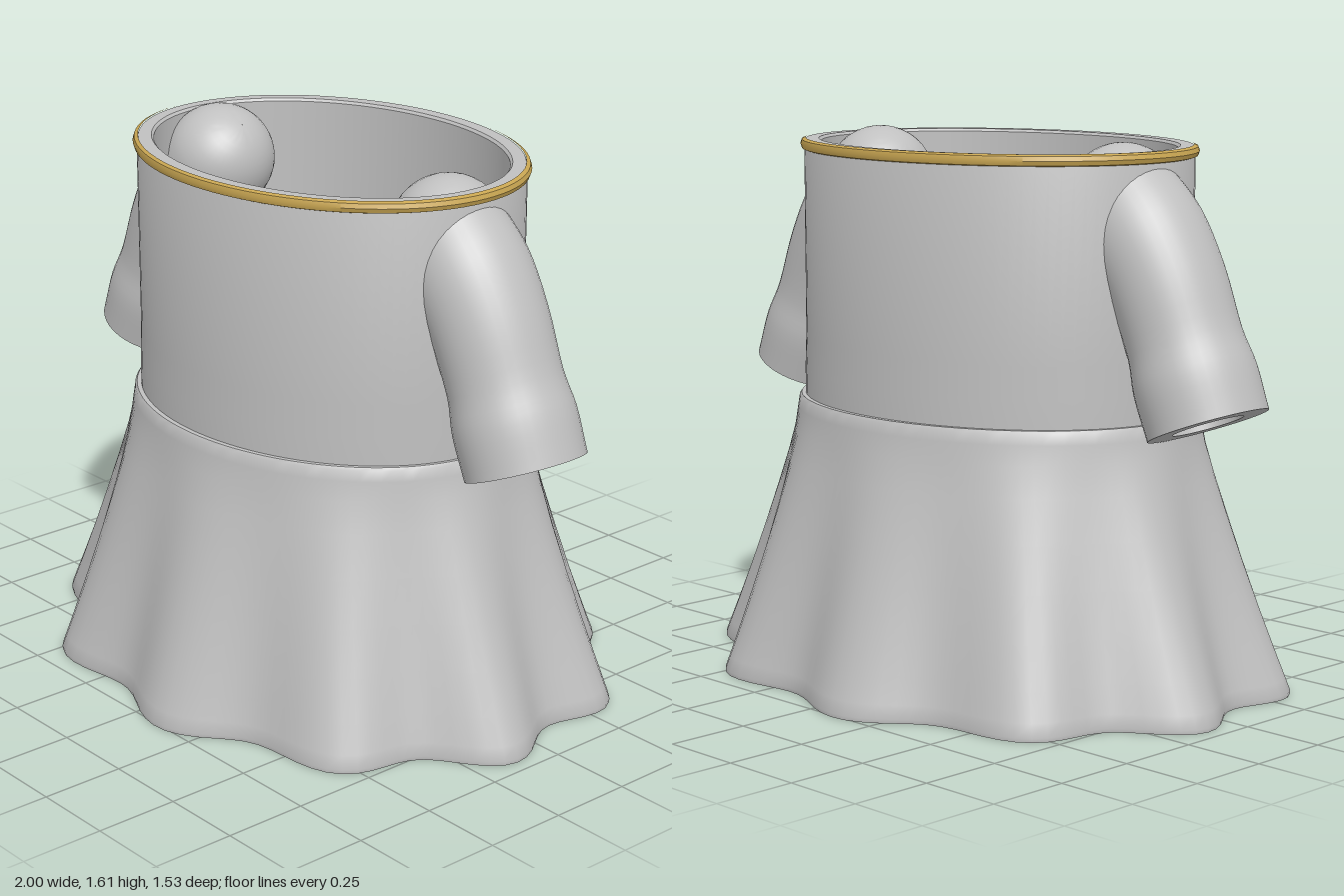
import * as THREE from 'three';
import { toCreasedNormals } from 'three/addons/utils/BufferGeometryUtils.js';

// Skin a stack of closed rings; point(row, angle) returns [x, y, z].
function loft(rows, cols, point) {
  const pos = [], idx = [];
  for (let i = 0; i < rows; i++) {
    for (let j = 0; j < cols; j++) pos.push(...point(i, (j / cols) * Math.PI * 2));
  }
  for (let i = 0; i < rows - 1; i++) {
    for (let j = 0; j < cols; j++) {
      const k = (j + 1) % cols;
      const a = i * cols + j, b = i * cols + k, c = b + cols, d = a + cols;
      idx.push(a, b, c, a, c, d);
    }
  }
  const geo = new THREE.BufferGeometry();
  geo.setAttribute('position', new THREE.Float32BufferAttribute(pos, 3));
  geo.setIndex(idx);
  return toCreasedNormals(geo, 0.65);
}

// Elliptical rings [halfX, halfZ, y], with optional pleats
function ellipseLoft(profile, cols, pleat = () => 1) {
  return loft(profile.length, cols, (i, a) => {
    const [rx, rz, y] = profile[i];
    const k = pleat(a, y);
    return [rx * k * Math.sin(a), y, rz * k * Math.cos(a)];
  });
}

// Curved sleeve: domed shoulder, flared cuff and a hollow opening
function sleeveGeometry(side) {
  const curve = new THREE.CatmullRomCurve3([
    [0.51, 1.445], [0.6, 1.345], [0.68, 1.22], [0.75, 1.06], [0.79, 0.96], [0.84, 0.835],
  ].map(([x, y]) => new THREE.Vector3(x, y, 0)));
  const radius = new THREE.SplineCurve([
    [0, 0.165], [0.3, 0.174], [0.55, 0.169], [0.75, 0.164], [0.93, 0.176], [1, 0.174],
  ].map(([t, r]) => new THREE.Vector2(t, r)));
  const rings = [];
  const start = curve.getPoint(0), startDir = curve.getTangent(0);
  for (let k = 0; k < 10; k++) {
    const a = (k / 10) * Math.PI / 2;
    rings.push({
      c: start.clone().addScaledVector(startDir, -0.165 * Math.cos(a)),
      t: startDir, r: Math.max(0.0005, 0.165 * Math.sin(a)),
    });
  }
  const addRing = (u, r) => rings.push({ c: curve.getPoint(u), t: curve.getTangent(u), r });
  for (let k = 0; k <= 20; k++) addRing(k / 20, radius.getPoint(k / 20).y);
  // Cuff face and inner tunnel
  for (let k = 0; k <= 8; k++) addRing(1 - k * 0.09, 0.102);
  addRing(0.27, 0.0005);

  return loft(rings.length, 40, (i, angle) => {
    const { c, t, r } = rings[i];
    const a = angle * side;
    return [
      side * (c.x - t.y * r * Math.cos(a)),
      c.y + t.x * r * Math.cos(a),
      r * 1.03 * Math.sin(a),
    ];
  });
}

export function createModel() {
  const cloth = new THREE.MeshStandardMaterial({ color: 0xc0c0c0 });
  cloth.name = 'greyCloth';
  const gold = new THREE.MeshStandardMaterial({ color: 0xc9a652 });
  gold.name = 'goldTrim';
  const model = new THREE.Group();
  model.name = 'dress';
  const add = (name, geo, mat) => {
    const mesh = new THREE.Mesh(geo, mat);
    mesh.name = name;
    model.add(mesh);
  };

  // Bodice: hollow elliptical tube, outside up and inside down
  add('bodice', ellipseLoft([
    [0.65, 0.505, 0.78], [0.65, 0.505, 0.9], [0.647, 0.501, 1.0], [0.647, 0.501, 1.575],
    [0.642, 0.496, 1.588], [0.605, 0.455, 1.588], [0.598, 0.448, 1.58], [0.598, 0.448, 0.79],
  ], 96), cloth);

  // Neckline trim
  add('neckTrim', ellipseLoft([
    [0.643, 0.497, 1.556], [0.656, 0.507, 1.56], [0.661, 0.511, 1.573],
    [0.656, 0.507, 1.586], [0.643, 0.497, 1.591],
  ], 96), gold);

  // Skirt: ten pleats fading out toward the waist, with a thick waistband
  const pleat = (a, y) =>
    1 + 0.058 * Math.pow(Math.max(0, 1 - y / 0.76), 0.85) * Math.cos(10 * (a - 0.135));
  add('skirt', ellipseLoft([
    [0.905, 0.715, 0.006], [0.919, 0.727, 0], [0.921, 0.729, 0.012], [0.908, 0.717, 0.05],
    [0.878, 0.695, 0.13], [0.835, 0.662, 0.25], [0.79, 0.628, 0.38], [0.748, 0.594, 0.51],
    [0.71, 0.563, 0.63], [0.684, 0.541, 0.72], [0.671, 0.531, 0.78], [0.666, 0.526, 0.812],
    [0.66, 0.52, 0.82], [0.59, 0.44, 0.82], [0.545, 0.405, 0.807], [0.53, 0.39, 0.785],
    [0.53, 0.39, 0.76], [0.59, 0.45, 0.73], [0.65, 0.51, 0.68], [0.705, 0.558, 0.58],
    [0.765, 0.605, 0.4], [0.822, 0.65, 0.24], [0.868, 0.686, 0.1], [0.905, 0.715, 0.006],
  ], 120, pleat), cloth);

  // Sleeves
  add('leftSleeve', sleeveGeometry(1), cloth);
  add('rightSleeve', sleeveGeometry(-1), cloth);
  return model;
}
